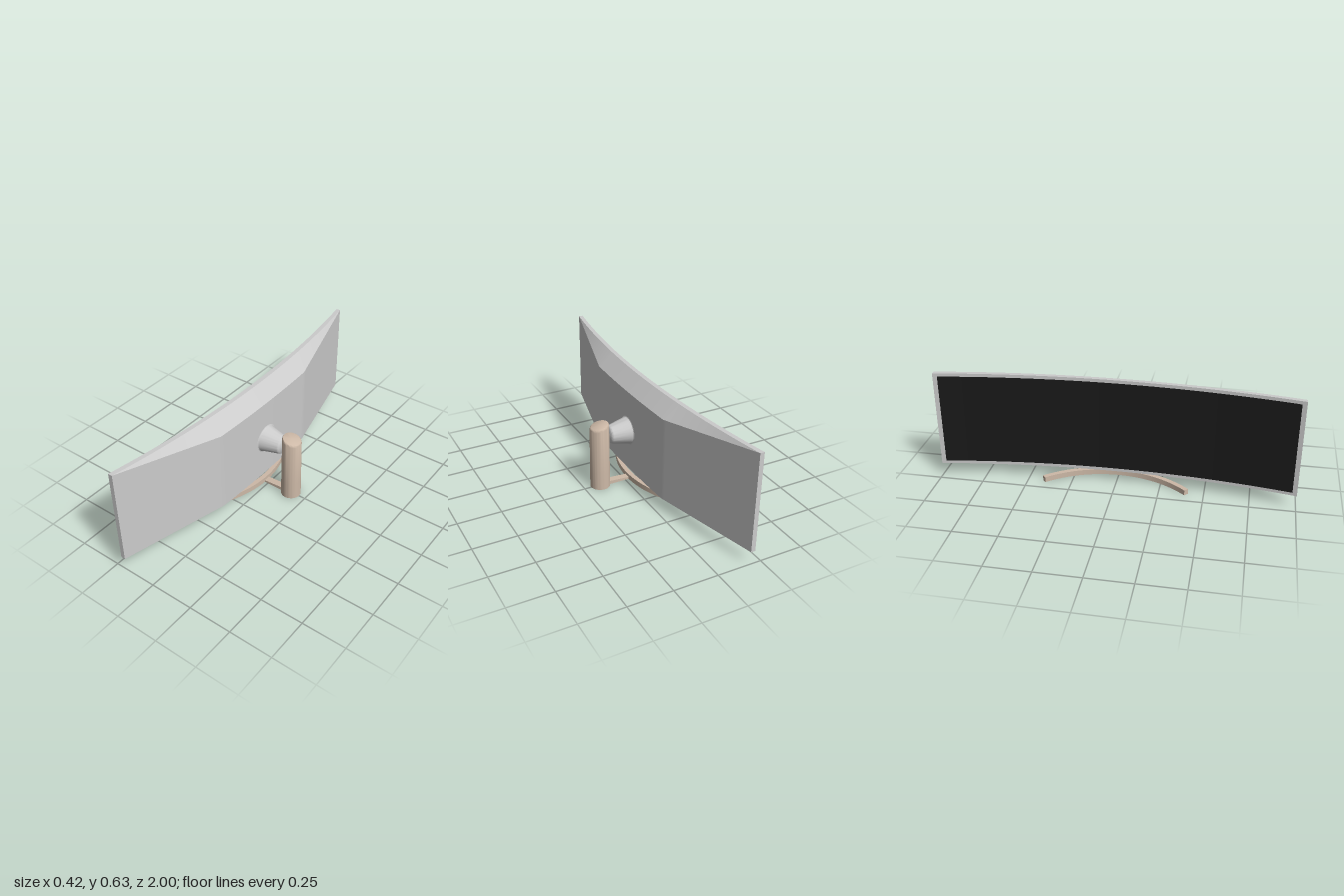
import * as THREE from 'three';
import { mergeGeometries, toCreasedNormals } from 'three/addons/utils/BufferGeometryUtils.js';

const BOTTOM = 0.073, TOP = 0.635, KINK = 0.38;

// Plan curves of the housing: x as a function of z
const frontX = z => -0.125 - 0.087 * z * z;
const rimX = z => frontX(z) + 0.025;
const outer = z => Math.max(0, (Math.abs(z) - KINK) / (1 - KINK));
const backX = z => {
  const t = outer(z);
  return t > 0 ? -0.032 - 0.155 * t : -0.022 - 0.01 * (z / KINK) ** 2;
};
const backTop = z => 0.555 + (TOP - 0.555) * outer(z);

// Section of the housing at z, counter-clockwise seen from +z
const section = z => [
  [backX(z), BOTTOM], [backX(z), backTop(z)], [rimX(z), TOP], [frontX(z), TOP], [frontX(z), BOTTOM],
].map(([x, y]) => [x, y, z]);

function build(points, index) {
  const g = new THREE.BufferGeometry();
  g.setAttribute('position', new THREE.Float32BufferAttribute(points.flat(), 3));
  g.setIndex(index);
  g.computeVertexNormals();
  return g;
}

// Surface between two edges that run along z
function strip(a, b, z0, z1, n = 100) {
  const points = [], index = [];
  for (let i = 0; i <= n; i++) {
    const z = z0 + (z1 - z0) * i / n;
    points.push(a(z), b(z));
    if (i < n) {
      const k = 2 * i;
      index.push(k, k + 1, k + 2, k + 1, k + 3, k + 2);
    }
  }
  return build(points, index);
}

// Extrudes a plan outline (x, z) upward from y0
function extrudePlan(shape, y0, height) {
  const g = new THREE.ExtrudeGeometry(shape, { depth: height, bevelEnabled: false, curveSegments: 64 });
  g.rotateX(-Math.PI / 2);
  g.translate(0, y0, 0);
  return toCreasedNormals(g, 0.5);
}

export function createModel() {
  const model = new THREE.Group();
  const grey = new THREE.MeshStandardMaterial({ color: 0xcccccc });
  const black = new THREE.MeshStandardMaterial({ color: 0x1a1a1a });
  const tan = new THREE.MeshStandardMaterial({ color: 0xcdb9a7 });
  const add = (name, geometry, material) => {
    const mesh = new THREE.Mesh(geometry, material);
    mesh.name = name;
    model.add(mesh);
    return mesh;
  };

  // Curved housing with a sloping upper back
  const faces = [];
  for (let i = 0; i < 5; i++) {
    faces.push(strip(z => section(z)[i], z => section(z)[(i + 1) % 5], -1, 1));
  }
  const corners = z => section(z).filter((p, i) => i !== 2);
  faces.push(build(corners(1), [0, 1, 2, 0, 2, 3]));
  faces.push(build(corners(-1), [0, 2, 1, 0, 3, 2]));
  add('housing', mergeGeometries(faces), grey);

  // Display surface inside the narrow bezel
  add('screen', strip(
    z => [frontX(z) - 0.001, TOP - 0.018, z],
    z => [frontX(z) - 0.001, BOTTOM + 0.018, z], -0.975, 0.975), black);

  // Flared neck joining the housing to the post
  const neckProfile = [
    [0, -0.03], [0.087, -0.03], [0.086, -0.023], [0.079, -0.02], [0.075, -0.012],
    [0.053, 0.085], [0.05, 0.092], [0.045, 0.096], [0, 0.097],
  ].map(([r, h]) => new THREE.Vector2(r, h));
  const neck = new THREE.LatheGeometry(neckProfile, 48);
  neck.rotateZ(-Math.PI / 2);
  neck.translate(0, 0.315, 0);
  add('neck', toCreasedNormals(neck, 0.7), grey);

  // Round post whose rounded top slants down toward the rear
  const postProfile = [
    [0, 0.001], [0.057, 0.001], [0.0565, 0.1], [0.0545, 0.374], [0.053, 0.381],
    [0.05, 0.386], [0.046, 0.388], [0, 0.388],
  ].map(([r, h]) => new THREE.Vector2(r, h));
  const post = new THREE.LatheGeometry(postProfile, 48);
  const p = post.attributes.position;
  for (let i = 0; i < p.count; i++) {
    if (p.getY(i) > 0.3) p.setY(i, p.getY(i) - 0.25 * p.getX(i));
  }
  post.translate(0.153, 0, 0);
  add('post', toCreasedNormals(post, 0.6), tan);

  // Arc-shaped foot
  const arc = new THREE.Shape();
  const half = 0.73, centre = -0.64;
  arc.absarc(centre, 0, 0.62, -half, half, false);
  arc.absarc(centre, 0, 0.593, half, -half, true);
  arc.closePath();
  add('foot', extrudePlan(arc, 0.002, 0.031), tan);

  // Tapered arm between foot and post
  const arm = new THREE.Shape([
    [-0.03, 0.002], [0.13, 0], [0.13, 0.023], [-0.03, 0.014],
  ].map(([x, y]) => new THREE.Vector2(x, y)));
  const armGeometry = new THREE.ExtrudeGeometry(arm, { depth: 0.04, bevelEnabled: false });
  armGeometry.translate(0, 0, -0.02);
  add('arm', armGeometry, tan);

  return model;
}
